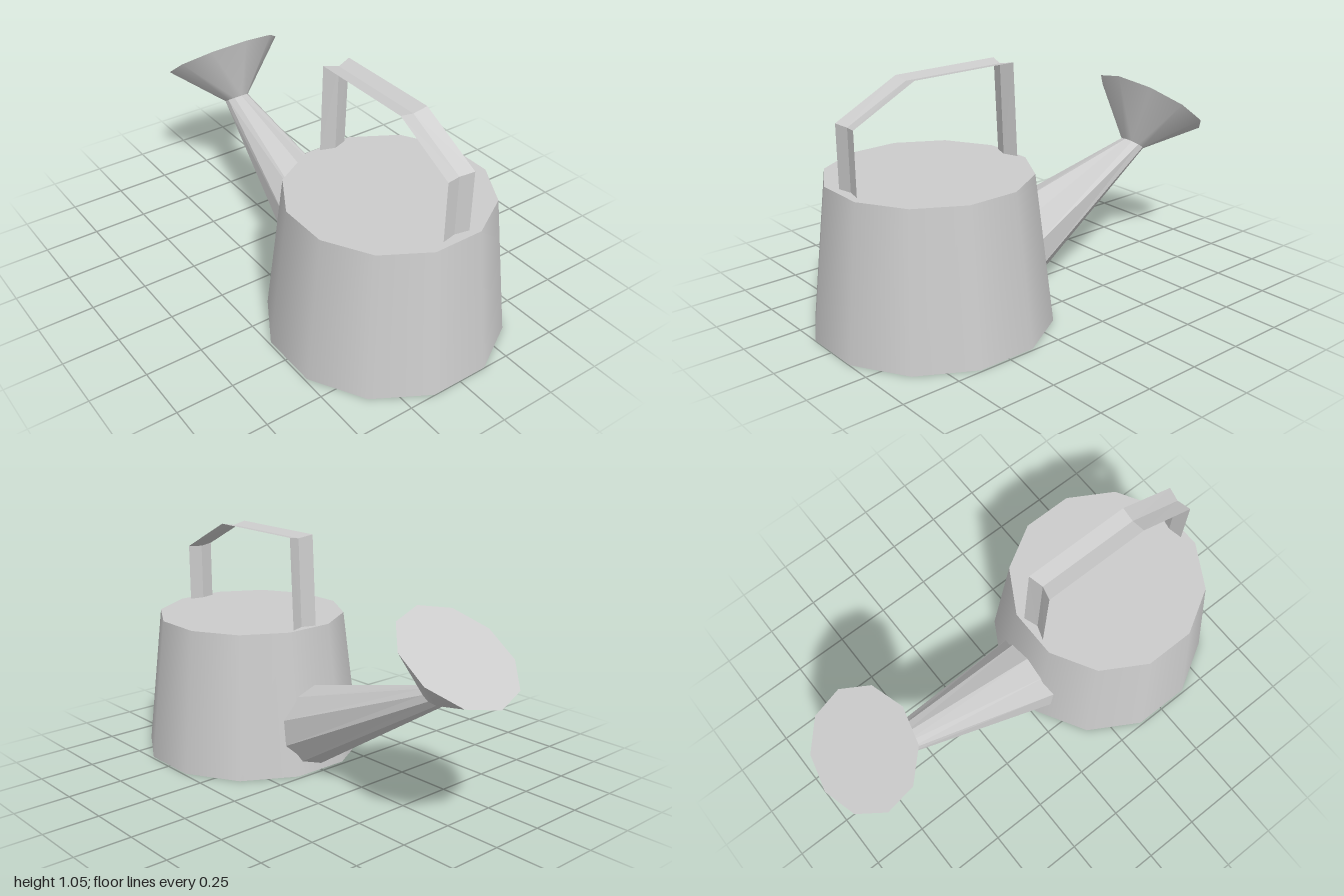
import * as THREE from 'three';

const SIDES = 10;

function material(options = {}) {
  return new THREE.MeshStandardMaterial({ color: 0xcccccc, roughness: 0.8, ...options });
}

function addMesh(group, name, geometry, options) {
  const mesh = new THREE.Mesh(geometry, material(options));
  mesh.name = name;
  group.add(mesh);
  return mesh;
}

// Indexed surface from a grid-like list of points
function surface(points, index) {
  const geometry = new THREE.BufferGeometry().setFromPoints(points);
  geometry.setIndex(index);
  geometry.computeVertexNormals();
  return geometry;
}

// Ten-sided ring whose first corner points along (0, upY, upZ)
function ring([x, y, z], [upY, upZ], radius) {
  const up = new THREE.Vector3(0, upY, upZ).normalize();
  return Array.from({ length: SIDES }, (_, i) => {
    const a = (i / SIDES) * Math.PI * 2;
    return new THREE.Vector3(x + Math.sin(a) * radius, y, z).addScaledVector(up, Math.cos(a) * radius);
  });
}

// Open wall between two rings
function loft(a, b) {
  const index = [];
  for (let i = 0; i < SIDES; i++) {
    const j = (i + 1) % SIDES;
    index.push(i, j, SIDES + i, j, SIDES + j, SIDES + i);
  }
  return surface([...a, ...b], index);
}

// Flat cover over a ring
function cap(r) {
  const index = [];
  for (let i = 1; i < SIDES - 1; i++) index.push(0, i, i + 1);
  return surface(r, index);
}

// Thin folded strip: the two rims follow one path, the central crease another
function foldedStrip(rim, crease, x, halfWidth) {
  const points = [], index = [];
  rim.forEach(([z, y], i) => {
    const [cz, cy] = crease[i];
    points.push(
      new THREE.Vector3(x - halfWidth, y, z),
      new THREE.Vector3(x, cy, cz),
      new THREE.Vector3(x + halfWidth, y, z)
    );
    if (i === 0) return;
    for (let k = 0; k < 2; k++) {
      const p = (i - 1) * 3 + k, q = p + 3;
      index.push(p, p + 1, q, p + 1, q + 1, q);
    }
  });
  return surface(points, index);
}

export function createModel() {
  const model = new THREE.Group();
  model.name = 'wateringCan';

  // Tapered twelve-sided tank with closed top and bottom
  const tank = addMesh(model, 'tank',
    new THREE.CylinderGeometry(0.43, 0.507, 0.645, 12, 1, false, Math.PI / 12));
  tank.position.set(0, 0.3225, 0.508);

  // Spout, its root sunk into the tank wall
  const root = ring([-0.006, 0.19, 0.09], [0.366, 0.08], 0.186);
  const neck = ring([0.008, 0.53, -0.665], [0.06, 0.09], 0.057);
  addMesh(model, 'spout', loft(root, neck), { flatShading: true, side: THREE.DoubleSide });

  // Flared sprinkler head with a flat face
  const rim = ring([0.01, 0.715, -0.778], [0.31, 0.43], 0.27);
  addMesh(model, 'sprinklerCone', loft(neck, rim));
  addMesh(model, 'sprinklerFace', cap(rim));

  // Creased sheet handle arching over the tank, front to back
  addMesh(model, 'handle', foldedStrip(
    [[0.893, 0.64], [0.893, 0.907], [0.615, 1.05], [0.128, 1.05], [0.108, 0.64]],
    [[0.88, 0.64], [0.88, 0.902], [0.612, 1.038], [0.147, 1.038], [0.13, 0.64]],
    0.014, 0.064
  ), { flatShading: true, side: THREE.DoubleSide });

  return model;
}
